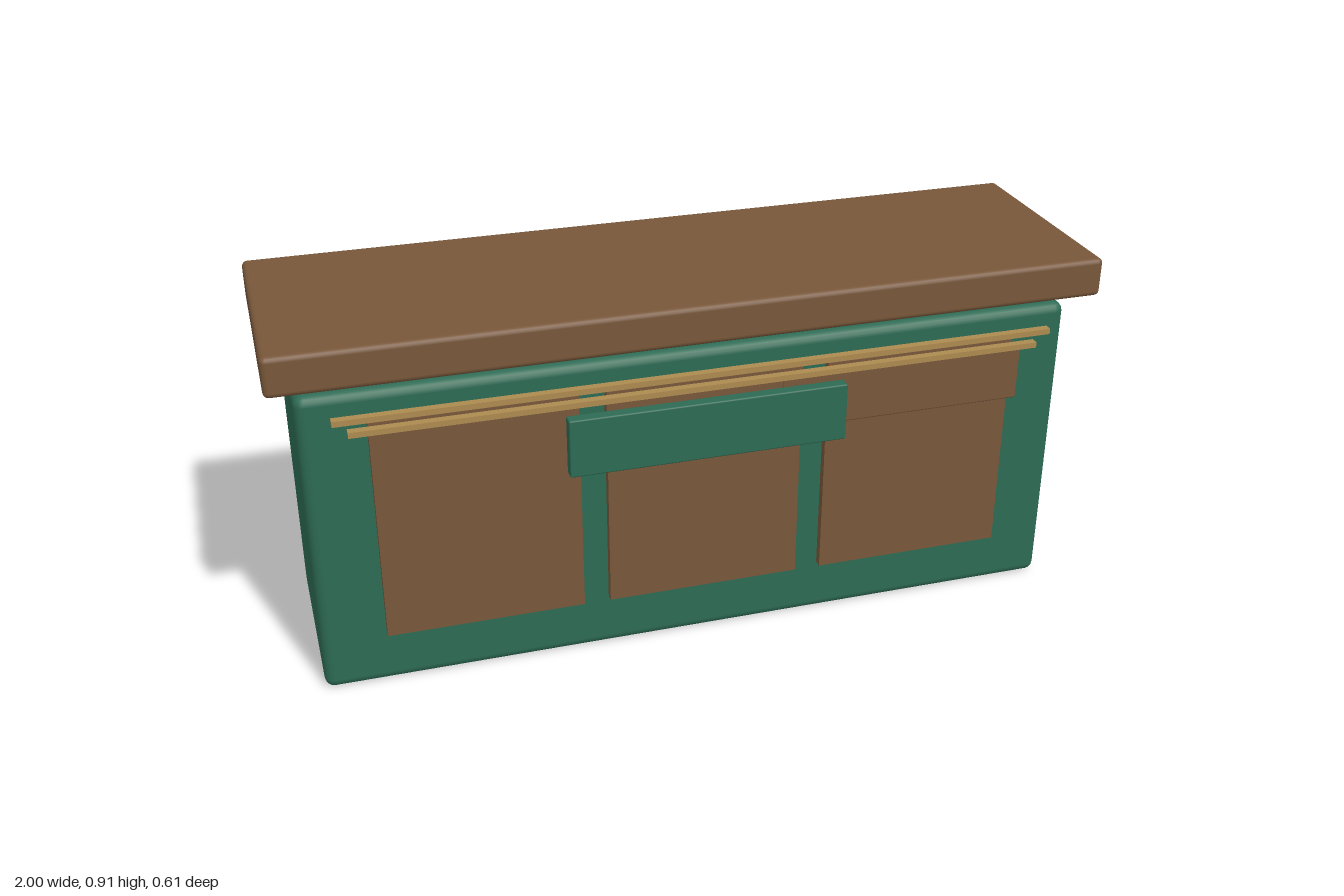
import * as THREE from 'three';
import { RoundedBoxGeometry } from 'three/addons/geometries/RoundedBoxGeometry.js';

export function createModel() {
  const mat = (name, color) => {
    const m = new THREE.MeshStandardMaterial({ color });
    m.name = name;
    return m;
  };
  const green = mat('green paint', 0x2d6b54);
  const wood = mat('brown wood', 0x78573a);
  const brass = mat('brass', 0xad8b50);

  const group = new THREE.Group();
  group.name = 'counter';

  // Box given by its min/max on each axis, with rounded edges of radius r
  const block = (name, material, [x0, x1], [y0, y1], [z0, z1], r) => {
    const size = [x1 - x0, y1 - y0, z1 - z0];
    const geometry = r ? new RoundedBoxGeometry(...size, 2, r) : new THREE.BoxGeometry(...size);
    const mesh = new THREE.Mesh(geometry, material);
    mesh.name = name;
    mesh.position.set((x0 + x1) / 2, (y0 + y1) / 2, (z0 + z1) / 2);
    group.add(mesh);
  };

  // Cabinet and overhanging worktop
  block('cabinetBody', green, [-0.94, 0.94], [0, 0.78], [-0.275, 0.232], 0.024);
  block('worktop', wood, [-1, 1], [0.813, 0.91], [-0.305, 0.284], 0.013);

  // Three front panels
  for (const x of [-0.545, 0, 0.545]) {
    block('frontPanel', wood, [x - 0.24, x + 0.24], [0.147, 0.715], [0.241, 0.261]);
  }

  // Drawer front on the model's left, and the raised centre board
  block('drawerFront', wood, [0.19, 0.81], [0.553, 0.69], [0.24, 0.263], 0.004);
  block('centreBoard', green, [-0.34, 0.34], [0.528, 0.675], [0.274, 0.305], 0.004);

  // Two brass trim rails
  block('upperRail', brass, [-0.865, 0.865], [0.735, 0.749], [0.279, 0.299]);
  block('lowerRail', brass, [-0.832, 0.832], [0.703, 0.717], [0.279, 0.299]);

  return group;
}
